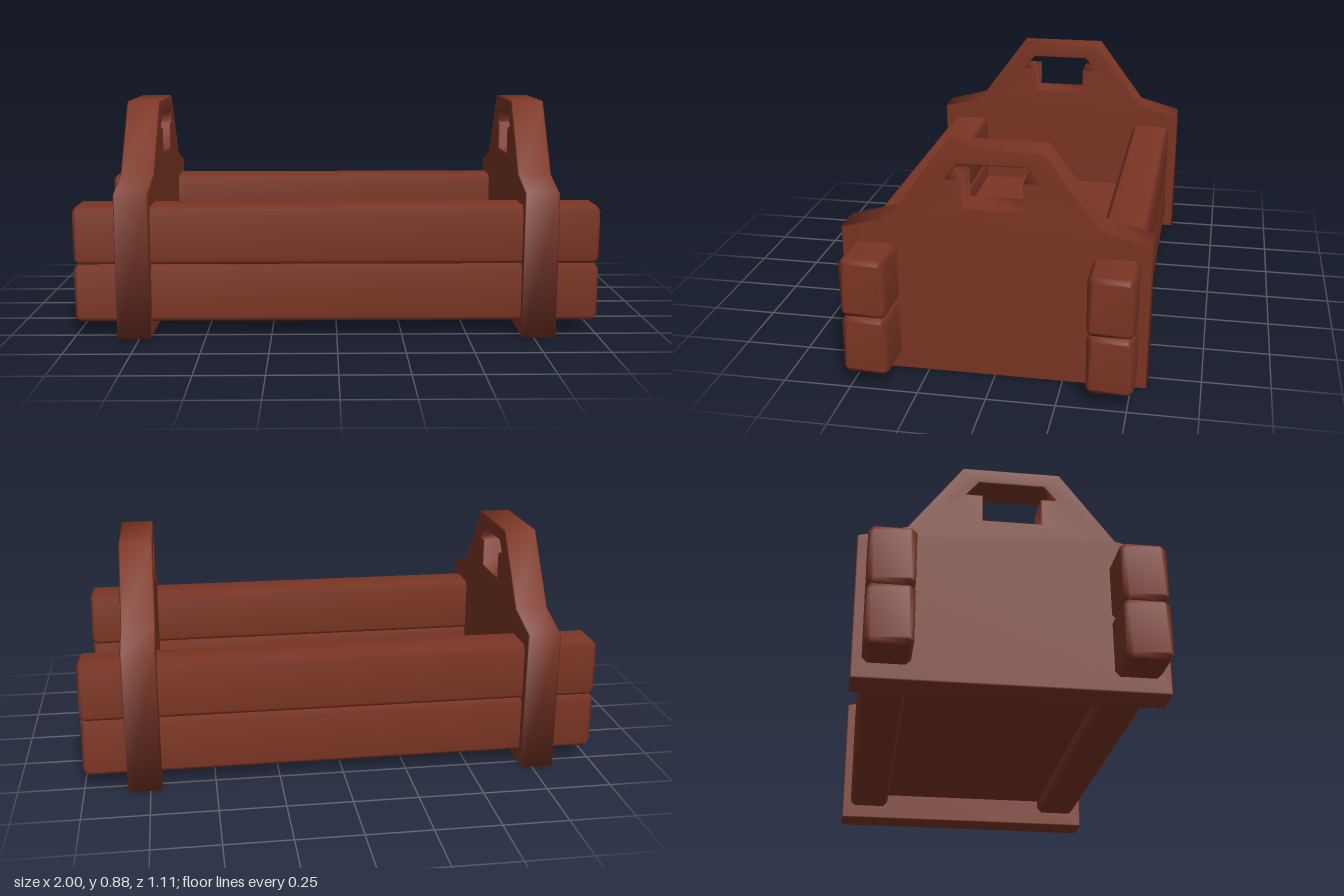
import * as THREE from 'three';
import { mergeVertices } from 'three/addons/utils/BufferGeometryUtils.js';

const toPoints = (list) => list.map(([a, b]) => new THREE.Vector2(a, b));

// Extrudes a shape along x, centred, with a one-step bevel and softened normals
function bevelledSolid(shape, length, bevel) {
  const extruded = new THREE.ExtrudeGeometry(shape, {
    depth: length - 2 * bevel,
    bevelEnabled: true,
    bevelSegments: 1,
    bevelSize: bevel,
    bevelThickness: bevel,
    bevelOffset: -bevel,
  });
  extruded.translate(0, 0, -length / 2 + bevel);
  extruded.rotateY(Math.PI / 2);
  extruded.deleteAttribute('uv');
  extruded.deleteAttribute('normal');
  const geometry = mergeVertices(extruded, 1e-4);
  geometry.computeVertexNormals();
  return geometry;
}

// End board: stepped outline with a handle cut-out
function endBoardGeometry() {
  const half = [[0.557, 0], [0.557, 0.557], [0.38, 0.606], [0.18, 0.876]];
  const holeHalf = [[0.108, 0.656], [0.108, 0.763], [0.168, 0.763], [0.121, 0.818]];
  const mirrored = (pts) => toPoints([...pts, ...pts.map(([a, b]) => [-a, b]).reverse()]);
  const shape = new THREE.Shape(mirrored(half));
  shape.holes.push(new THREE.Path(mirrored(holeHalf)));
  return bevelledSolid(shape, 0.13, 0.005);
}

// Plank: rectangle with cut corners, chamfered at both ends too
function plankGeometry(height, depth, cut) {
  const w = depth / 2;
  const h = height / 2;
  const shape = new THREE.Shape(toPoints([
    [w - cut, -h], [w, -h + cut], [w, h - cut], [w - cut, h],
    [-w + cut, h], [-w, h - cut], [-w, -h + cut], [-w + cut, -h],
  ]));
  return bevelledSolid(shape, 2, 0.016);
}

export function createModel() {
  const group = new THREE.Group();
  const wood = new THREE.MeshStandardMaterial({ color: 0x7b3524 });
  wood.name = 'reddish brown wood';

  const add = (name, geometry, x, y, z) => {
    const mesh = new THREE.Mesh(geometry, wood);
    mesh.name = name;
    mesh.position.set(x, y, z);
    group.add(mesh);
  };

  // End boards with handles
  const board = endBoardGeometry();
  add('leftEndBoard', board, 0.77, 0, 0);
  add('rightEndBoard', board, -0.77, 0, 0);

  // Two touching chamfered planks along each long side, running through the end boards
  const plank = plankGeometry(0.223, 0.167, 0.018);
  for (const [side, z] of [['front', 0.437], ['back', -0.437]]) {
    add(side + 'LowerPlank', plank, 0, 0.168, z);
    add(side + 'UpperPlank', plank, 0, 0.39, z);
  }

  // Floor between the planks
  add('floor', new THREE.BoxGeometry(1.5, 0.095, 0.76), 0, 0.1575, 0);

  return group;
}
